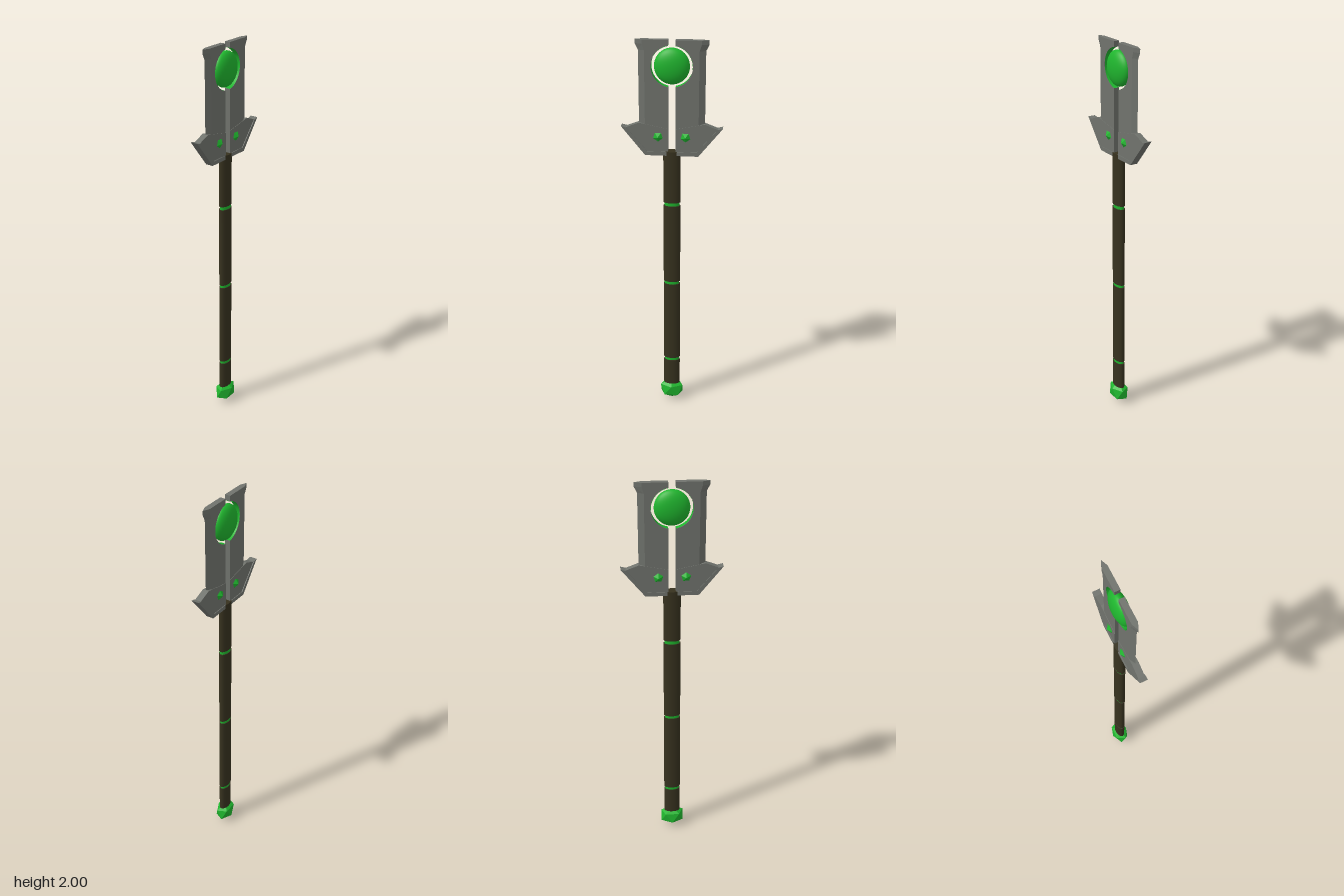
import * as THREE from 'three';

const steel = new THREE.MeshStandardMaterial({ color: 0x70736d });
steel.name = 'grey steel';
const wood = new THREE.MeshStandardMaterial({ color: 0x37321f });
wood.name = 'dark wood';
const green = new THREE.MeshStandardMaterial({ color: 0x1fb52e });
green.name = 'green crystal';
const greenInlay = green.clone();
greenInlay.side = THREE.DoubleSide;

const GAP = 0.018, EYE_Y = 1.875, EYE_R = 0.1;
const ARC = Math.acos(GAP / EYE_R);

export function createModel() {
  const model = new THREE.Group();
  model.name = 'staff';

  function add(name, geometry, material, x = 0, y = 0) {
    const mesh = new THREE.Mesh(geometry, material);
    mesh.name = name;
    mesh.position.set(x, y, 0);
    model.add(mesh);
    return mesh;
  }

  // flat plate centred on z = 0, mirrored by side
  function plate(name, points, depth, side) {
    const shape = new THREE.Shape(points.map(([x, y]) => new THREE.Vector2(x * side, y)));
    const geometry = new THREE.ExtrudeGeometry(shape, { depth, bevelEnabled: false });
    add(name, geometry.translate(0, 0, -depth / 2), steel);
  }

  // faceted crystal with one point along +y
  function crystal(rx, ry, rz) {
    const g = new THREE.IcosahedronGeometry(1, 0);
    g.rotateZ(Math.atan2(1, (1 + Math.sqrt(5)) / 2));
    g.rotateY(Math.PI / 2);
    g.scale(rx, ry, rz);
    g.computeVertexNormals();
    return g;
  }

  // sharpened outer edge, swept through rows of [y, inner x, outer x]
  function bladeEdge(side, half) {
    const rows = [[2, 0.14, 0.175], [1.98, 0.14, 0.175], [1.95, 0.13, 0.16], [1.57, 0.13, 0.16]];
    const pos = [];
    const tri = (a, b, c) => pos.push(...a, ...(side > 0 ? b : c), ...(side > 0 ? c : b));
    const ring = ([y, xi, xo]) => [[xi * side, y, half], [xo * side, y, 0], [xi * side, y, -half]];
    for (let i = 0; i < rows.length - 1; i++) {
      const t = ring(rows[i]), b = ring(rows[i + 1]);
      for (let k = 0; k < 2; k++) {
        tri(t[k], b[k], b[k + 1]);
        tri(t[k], b[k + 1], t[k + 1]);
      }
    }
    tri(...ring(rows[0]));
    const e = ring(rows[rows.length - 1]);
    tri(e[0], e[2], e[1]);
    const g = new THREE.BufferGeometry();
    g.setAttribute('position', new THREE.Float32BufferAttribute(pos, 3));
    g.computeVertexNormals();
    return g;
  }

  // oval shaft sections
  for (const [y0, y1] of [[0.1, 0.252], [0.268, 0.722], [0.738, 1.166], [1.184, 1.455]]) {
    const g = new THREE.CylinderGeometry(0.043, 0.043, y1 - y0, 24).scale(1, 1, 0.56);
    add('shaftSection', g, wood, 0, (y0 + y1) / 2);
  }
  // recessed rings between the sections
  for (const y of [0.26, 0.73, 1.175]) {
    add('shaftRing', new THREE.CylinderGeometry(0.038, 0.038, 0.022, 24).scale(1, 1, 0.56), green, 0, y);
  }

  add('pommelCrystal', crystal(0.07, 0.06, 0.048), green, 0, 0.06);
  add('eyeGem', new THREE.SphereGeometry(1, 32, 20).scale(0.085, 0.087, 0.038), green, 0, EYE_Y);

  for (const side of [1, -1]) {
    // blade half with the round cut-out
    const outline = [[GAP, 1.5], [0.13, 1.5], [0.13, 1.95], [0.14, 1.98], [0.14, 2], [GAP, 2]];
    for (let i = 0; i <= 24; i++) {
      const a = ARC - (2 * ARC * i) / 24;
      outline.push([EYE_R * Math.cos(a), EYE_Y + EYE_R * Math.sin(a)]);
    }
    plate('bladeHalf', outline, 0.028, side);
    add('bladeEdge', bladeEdge(side, 0.014), steel);

    // green lining of the cut-out
    const lining = new THREE.CylinderGeometry(EYE_R - 0.001, EYE_R - 0.001, 0.028, 24, 1, true,
      side * Math.PI / 2 - ARC, 2 * ARC).rotateX(Math.PI / 2);
    add('eyeLining', lining, greenInlay, 0, EYE_Y);

    // guard plate and its thicker lower rim
    plate('guardPlate', [[GAP, 1.45], [0.122, 1.45], [0.228, 1.572], [0.16, 1.598], [GAP, 1.57]], 0.032, side);
    plate('guardRim', [[GAP, 1.435], [0.13, 1.435], [0.247, 1.58], [0.222, 1.574], [0.12, 1.455], [GAP, 1.455]], 0.039, side);

    // crystal stud through the guard
    add('guardStud', crystal(0.032, 0.031, 0.031).rotateX(Math.PI / 2), green, side * 0.067, 1.53);
  }

  model.position.z = -0.0025;
  return model;
}
